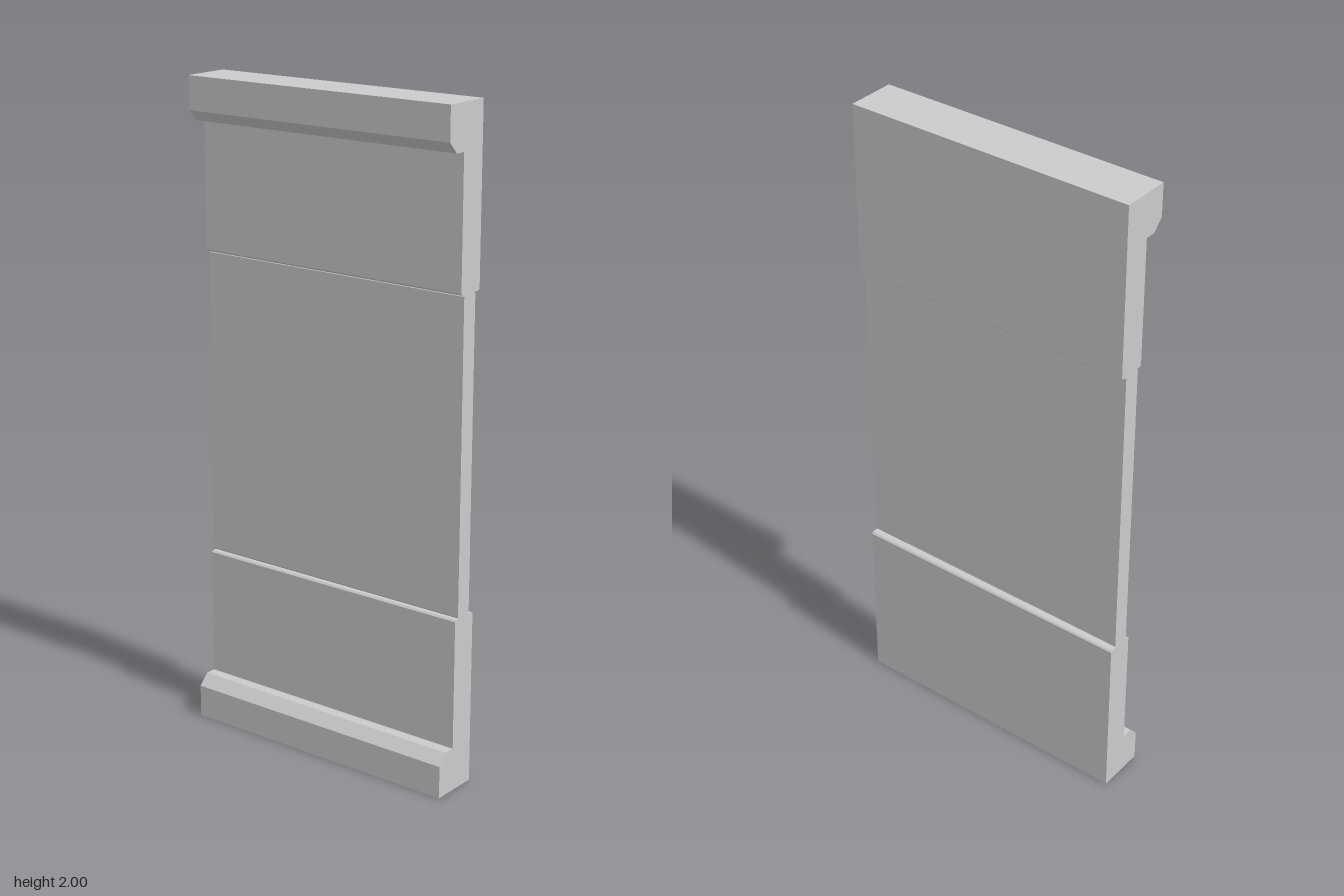
import * as THREE from 'three';

const WIDTH = 0.914;

// Extrudes a [z, y] profile across the full width, centred on x = 0
function slab(name, points, material) {
  const shape = new THREE.Shape(points.map(([z, y]) => new THREE.Vector2(z, y)));
  const geometry = new THREE.ExtrudeGeometry(shape, { depth: WIDTH, bevelEnabled: false });
  geometry.translate(0, 0, -WIDTH / 2);
  geometry.rotateY(-Math.PI / 2);
  const mesh = new THREE.Mesh(geometry, material);
  mesh.name = name;
  return mesh;
}

// Outer panel with a chamfered lip at its outer end; height is measured from that end
function lippedProfile(height) {
  const c = 0.005;
  return [
    [-0.076, 0], [0.076, 0], [0.076, 0.1], [0.044, 0.133], [0.011, 0.133],
    [0.011, height - c], [0.011 - c, height], [-0.076 + c, height], [-0.076, height - c],
  ];
}

export function createModel() {
  const group = new THREE.Group();
  group.name = 'panel';
  const material = new THREE.MeshStandardMaterial({ color: 0xcccccc, flatShading: true });

  // Lower and upper lipped panels
  group.add(slab('lowerPanel', lippedProfile(0.532), material));
  group.add(slab('upperPanel', lippedProfile(0.524).map(([z, y]) => [z, 2 - y]), material));

  // Thinner middle panel, with narrowed ends where it meets the others
  const back = -0.056, front = -0.003, low = 0.53, high = 1.478, c = 0.007;
  group.add(slab('middlePanel', [
    [back + c, low], [front - c, low], [front, low + c], [front, high - c],
    [front - c, high], [back + c, high], [back, high - c], [back, low + c],
  ], material));

  return group;
}
